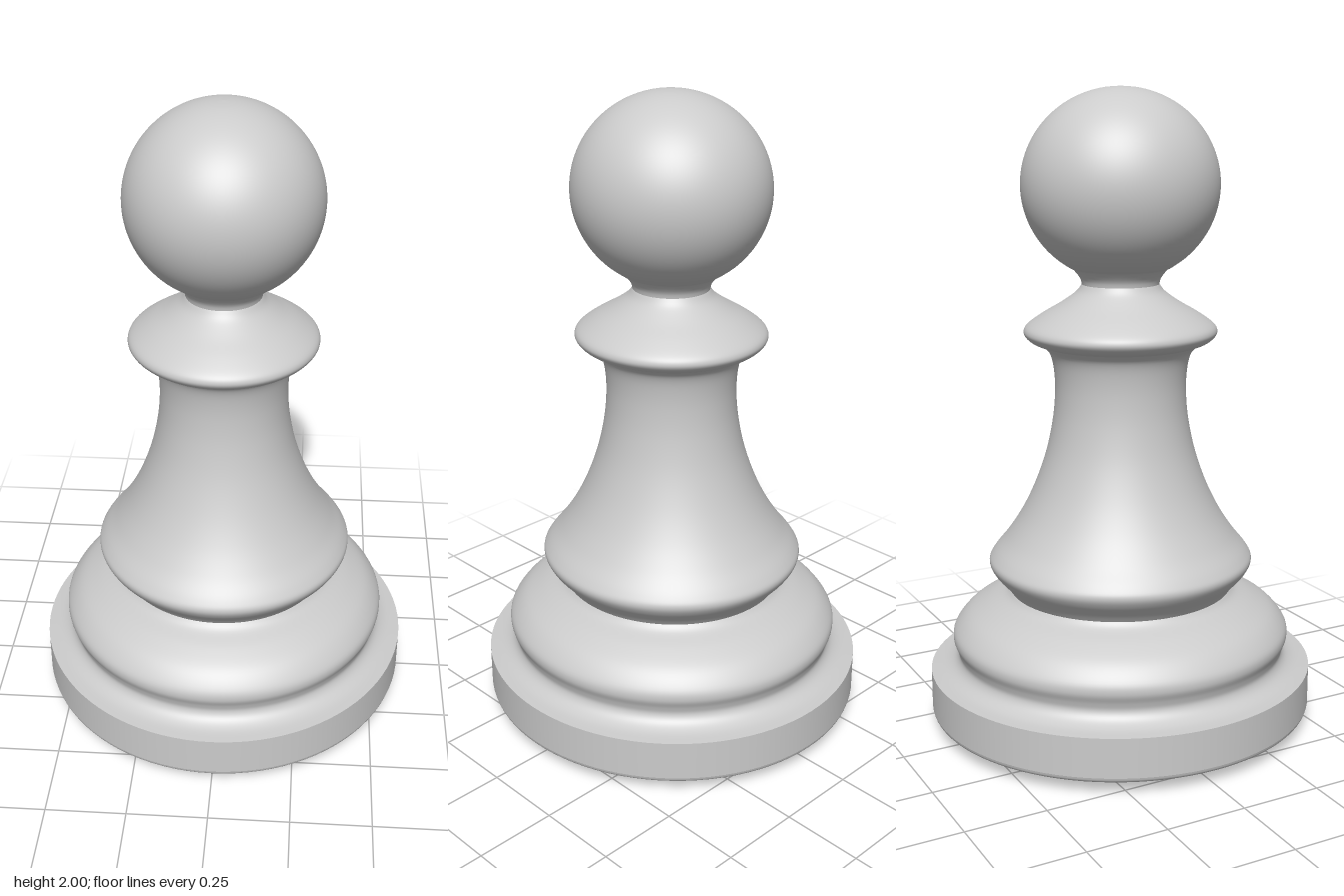
import * as THREE from 'three';

const DEPTH = 1.03; // the turned form is slightly deeper than wide
const SIDES = 96;

// Turn a profile of [radius, height] points, listed from bottom to top.
function turned(name, profile, smoothSteps = 0) {
  let points = profile.map(([r, y]) => new THREE.Vector2(r, y));
  if (smoothSteps) points = new THREE.SplineCurve(points).getPoints(smoothSteps);
  points.forEach((p) => { p.x = Math.max(p.x, 0); });
  const geometry = new THREE.LatheGeometry(points, SIDES);
  geometry.scale(1, 1, DEPTH);
  const mesh = new THREE.Mesh(geometry, new THREE.MeshStandardMaterial({ color: 0xcccccc }));
  mesh.name = name;
  return mesh;
}

export function createModel() {
  const group = new THREE.Group();
  group.name = 'pawn';

  // Plinth: gently domed underside and an upright rim with a crisp top edge
  group.add(turned('underside', [
    [0, 0], [0.2, 0.003], [0.4, 0.012], [0.5, 0.02], [0.56, 0.031], [0.59, 0.044], [0.597, 0.058],
  ], 32));
  group.add(turned('baseRim', [[0.597, 0.058], [0.597, 0.182]]));

  // Foot: cove rising from the plinth into a rounded bulge
  group.add(turned('foot', [
    [0.597, 0.182], [0.555, 0.187], [0.525, 0.202], [0.511, 0.225], [0.515, 0.25],
    [0.526, 0.282], [0.519, 0.315], [0.48, 0.36], [0.42, 0.395], [0.365, 0.418], [0.345, 0.436],
  ], 50));

  // Body: flared skirt tapering to a slim stem that opens under the collar
  group.add(turned('body', [
    [0.345, 0.436], [0.362, 0.46], [0.395, 0.498], [0.409, 0.53], [0.395, 0.56], [0.352, 0.615],
    [0.305, 0.69], [0.263, 0.78], [0.228, 0.885], [0.207, 0.99], [0.2, 1.08], [0.204, 1.15],
    [0.216, 1.195], [0.238, 1.22],
  ], 72));

  // Collar: thin rounded lip with a conical top
  group.add(turned('collar', [
    [0.238, 1.22], [0.268, 1.231], [0.288, 1.248], [0.293, 1.265], [0.28, 1.285],
    [0.235, 1.317], [0.18, 1.35], [0.135, 1.383], [0.117, 1.407],
  ], 40));

  // Head: short neck flowing into a ball
  const head = [[0.117, 1.407], [0.122, 1.426], [0.142, 1.452]];
  for (let i = 0; i <= 16; i++) {
    const a = THREE.MathUtils.lerp(-1.02, Math.PI / 2, i / 16);
    head.push([0.297 * Math.cos(a), 1.708 + 0.292 * Math.sin(a)]);
  }
  group.add(turned('head', head, 60));

  return group;
}
